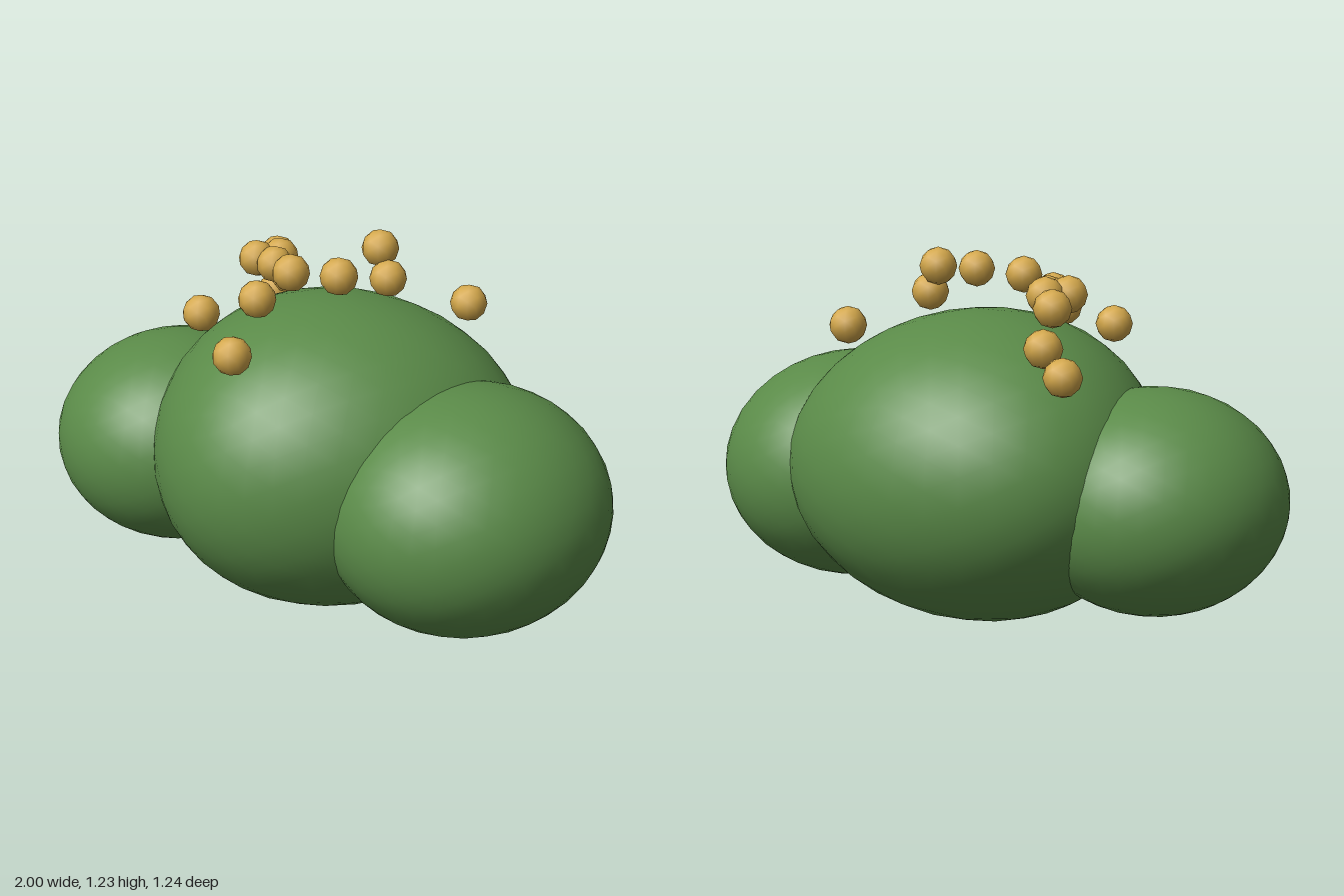
import * as THREE from 'three';
import { mergeVertices } from 'three/addons/utils/BufferGeometryUtils.js';

const green = new THREE.MeshStandardMaterial({ color: 0x5a8a48 });
green.name = 'leafGreen';
const gold = new THREE.MeshStandardMaterial({ color: 0xd4a84b });
gold.name = 'gold';

// Smooth ellipsoid; taper narrows its width towards the front
function lobe(name, center, radii, taper = 0) {
  let geo = new THREE.IcosahedronGeometry(1, 6);
  geo.deleteAttribute('uv');
  geo.deleteAttribute('normal');
  geo = mergeVertices(geo, 1e-4);
  const p = geo.attributes.position;
  for (let i = 0; i < p.count; i++) {
    p.setX(i, p.getX(i) * (1 - taper * p.getZ(i)));
  }
  geo.scale(...radii);
  geo.computeVertexNormals();
  const mesh = new THREE.Mesh(geo, green);
  mesh.name = name;
  mesh.position.set(...center);
  return mesh;
}

export function createModel() {
  const model = new THREE.Group();
  model.name = 'bush';

  // Three overlapping foliage masses
  model.add(lobe('middleFoliage', [0, 0.517, 0], [0.62, 0.513, 0.622], 0.15));
  model.add(lobe('leftFoliage', [0.55, 0.45, -0.015], [0.45, 0.392, 0.483]));
  model.add(lobe('rightFoliage', [-0.575, 0.45, 0.125], [0.425, 0.362, 0.437]));

  // Small round berries scattered above the crown
  const berries = new THREE.Group();
  berries.name = 'berries';
  const berryGeo = new THREE.IcosahedronGeometry(0.061, 1);
  berryGeo.deleteAttribute('uv');
  const spots = [
    [-0.49, 0.89, -0.265], [-0.4, 0.965, -0.24], [-0.365, 1.075, -0.145],
    [-0.28, 1.1, -0.065], [-0.32, 1.1, 0.005], [-0.24, 1.095, 0.005],
    [-0.315, 0.977, 0.275], [-0.08, 1.07, 0.26], [-0.05, 1.133, 0.135],
    [0.115, 1.145, 0.095], [0.13, 1.09, -0.13], [0.08, 1.177, -0.15],
    [0.295, 0.99, -0.345], [0.045, 0.977, 0.505],
  ];
  spots.forEach((spot, i) => {
    const berry = new THREE.Mesh(berryGeo, gold);
    berry.name = `berry${i + 1}`;
    berry.position.set(...spot);
    berries.add(berry);
  });
  model.add(berries);
  return model;
}
